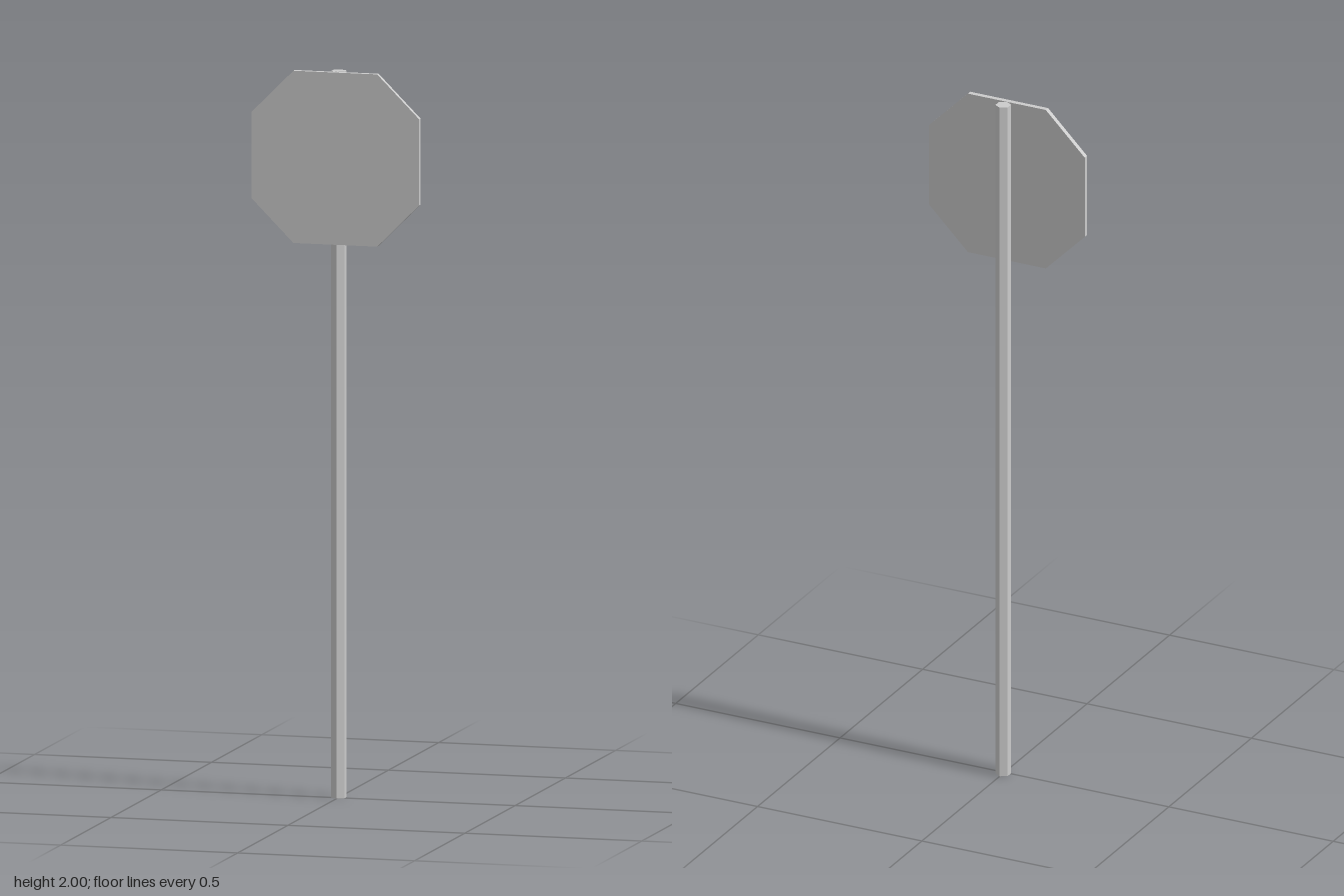
import * as THREE from 'three';

export function createModel() {
  const group = new THREE.Group();
  const material = new THREE.MeshStandardMaterial({ color: 0xcccccc, flatShading: true });

  // Six-sided pole, standing just behind the plate
  const radius = 0.0215, height = 2;
  const pole = new THREE.Mesh(new THREE.CylinderGeometry(radius, radius, height, 6), material);
  pole.name = 'pole';
  pole.position.set(0, height / 2, -0.007);
  group.add(pole);

  // Eight-sided plate: a square with its corners cut off
  const half = 0.237, cut = half / 2, depth = 0.014;
  const outline = new THREE.Shape([
    [cut, -half], [half, -cut], [half, cut], [cut, half],
    [-cut, half], [-half, cut], [-half, -cut], [-cut, -half],
  ].map(([x, y]) => new THREE.Vector2(x, y)));
  const plate = new THREE.Mesh(
    new THREE.ExtrudeGeometry(outline, { depth, bevelEnabled: false }), material);
  plate.name = 'signPlate';
  plate.position.set(0, height - half, 0.0145);
  group.add(plate);

  return group;
}
